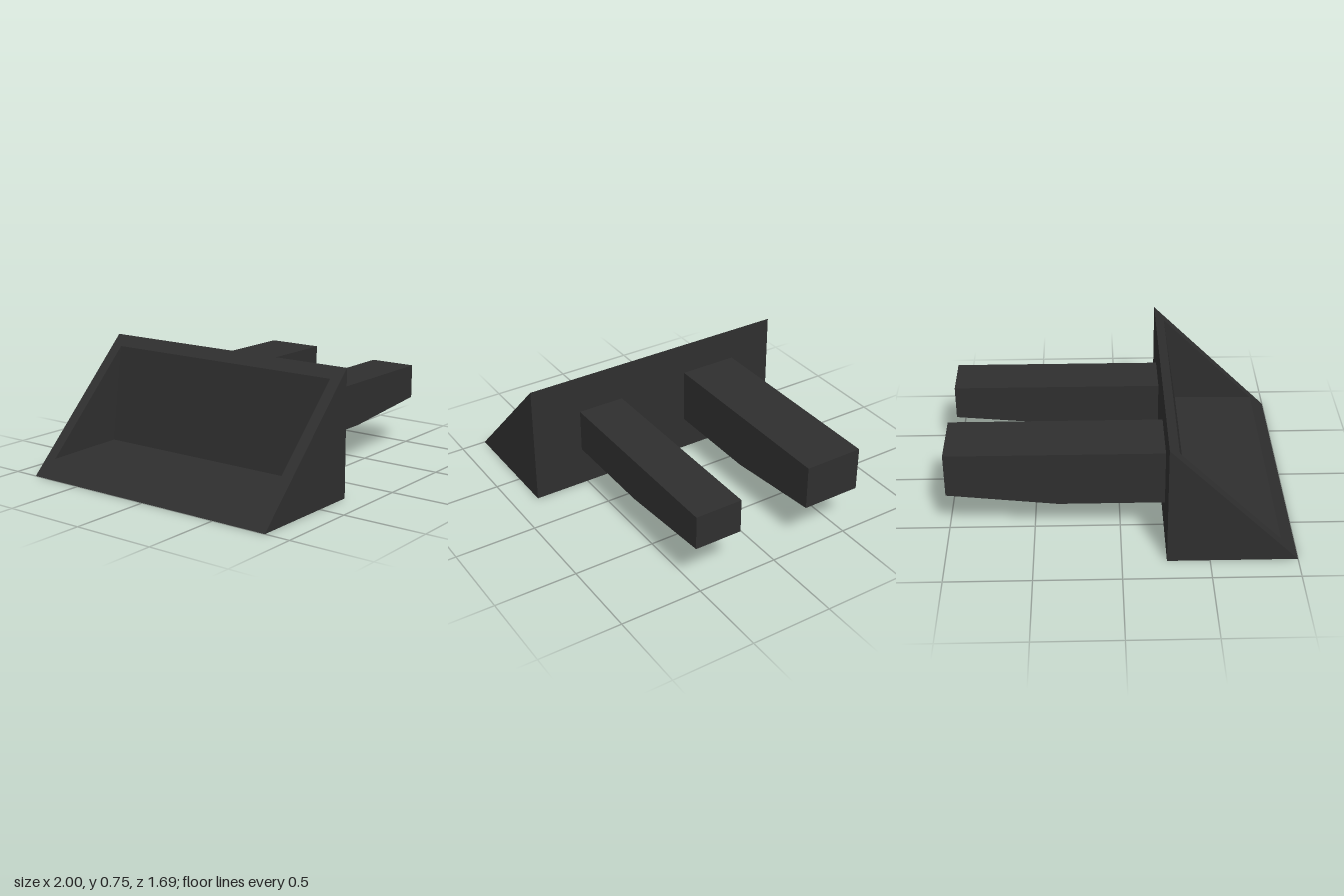
import * as THREE from 'three';

const darkGrey = new THREE.MeshStandardMaterial({ color: 0x2f2f2f });
darkGrey.name = 'dark grey';

// Extrudes an x-y outline from z0 to z1
function prism(name, points, z0, z1) {
  const shape = new THREE.Shape(points.map(([x, y]) => new THREE.Vector2(x, y)));
  const geometry = new THREE.ExtrudeGeometry(shape, { depth: z1 - z0, bevelEnabled: false });
  geometry.translate(0, 0, z0);
  const mesh = new THREE.Mesh(geometry, darkGrey);
  mesh.name = name;
  return mesh;
}

// Flat-topped arm whose underside rises towards the tip
function arm(name, z0, z1, top, bottom, tipBottom) {
  const root = -0.28;
  return prism(name, [[root, bottom], [0.36, bottom], [1, tipBottom], [1, top], [root, top]], z0, z1);
}

export function createModel() {
  const model = new THREE.Group();
  model.name = 'forkBucket';

  // Bucket: wedge-shaped sides joined by a floor and a sloping back wall
  const bucket = new THREE.Group();
  bucket.name = 'bucket';
  const half = 0.845, inner = 0.775;
  const wedge = [[-1, 0], [-0.255, 0], [-0.255, 0.745]];
  const hollow = [[-0.315, 0.685], [-0.4, 0.105], [-0.905, 0.095]];
  bucket.add(
    prism('bucketFloorAndBack', [...wedge, ...hollow], -inner, inner),
    prism('bucketSideFront', wedge, inner, half),
    prism('bucketSideBack', wedge, -half, -inner)
  );
  model.add(bucket);

  // Two arms of different size
  model.add(
    arm('largeArm', -0.57, -0.21, 0.547, 0.21, 0.28),
    arm('smallArm', 0.24, 0.53, 0.51, 0.245, 0.302)
  );
  return model;
}
